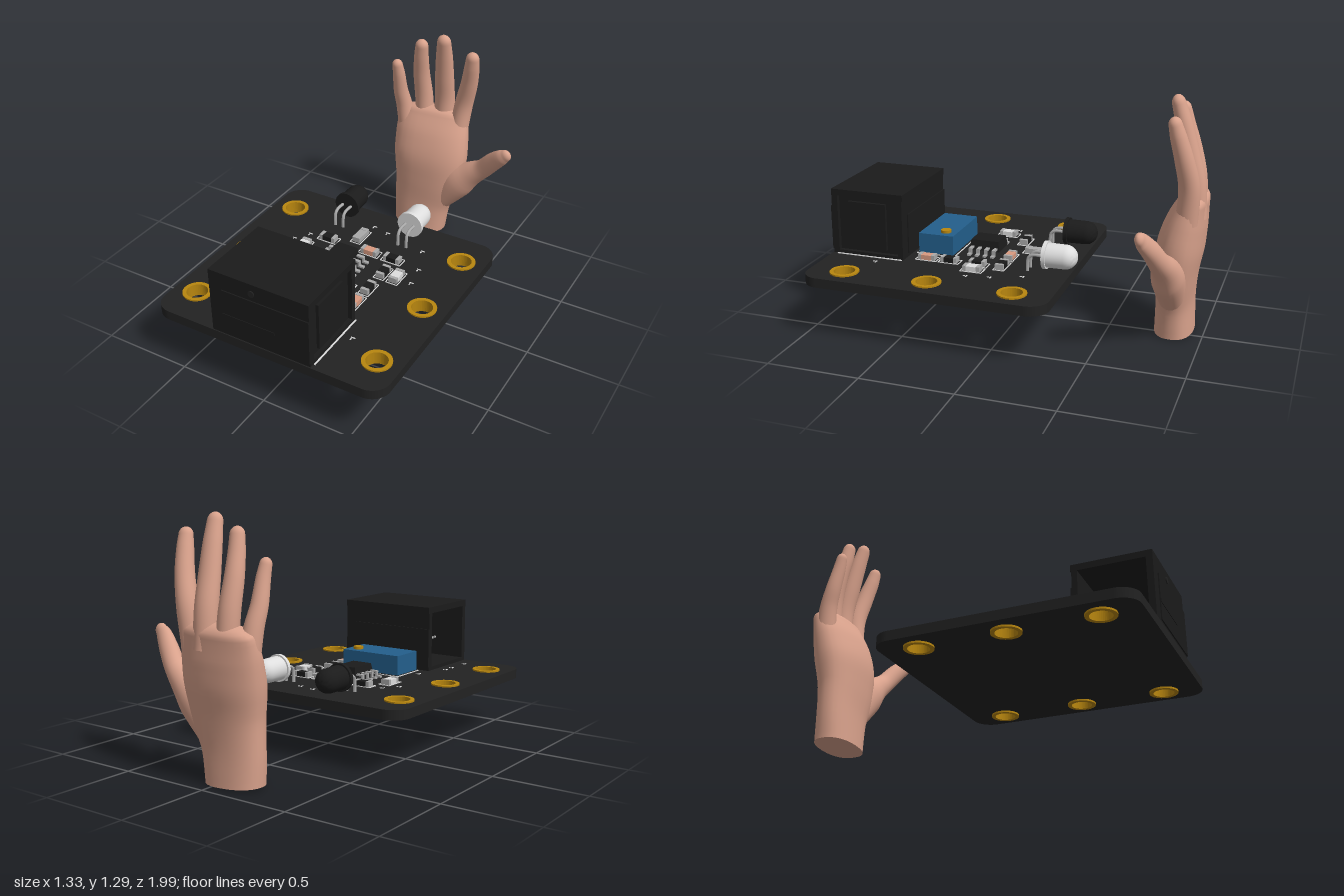
import * as THREE from 'three';
import { toCreasedNormals } from 'three/addons/utils/BufferGeometryUtils.js';

const paint = (name, color) => {
  const m = new THREE.MeshStandardMaterial({ color });
  m.name = name;
  return m;
};

export function createModel() {
  const black = paint('board black', 0x222222);
  const darkBlack = paint('plastic black', 0x1b1b1b);
  const brass = paint('brass', 0xb8860f);
  const blue = paint('trimmer blue', 0x235f8c);
  const metal = paint('lead grey', 0xaaaaaa);
  const white = paint('clear white', 0xdedede);
  const salmon = paint('ceramic salmon', 0xd99a80);
  const skin = paint('skin', 0xd9a28c);

  const root = new THREE.Group();
  const TOP = 0.34; // upper face of the board

  function add(name, geometry, material, parent = root) {
    const m = new THREE.Mesh(geometry, material);
    m.name = name;
    parent.add(m);
    return m;
  }
  function group(name) {
    const g = new THREE.Group();
    g.name = name;
    root.add(g);
    return g;
  }
  // box given by its extents
  function box(name, x0, x1, y0, y1, z0, z1, material, parent) {
    const m = add(name, new THREE.BoxGeometry(x1 - x0, y1 - y0, z1 - z0), material, parent);
    m.position.set((x0 + x1) / 2, (y0 + y1) / 2, (z0 + z1) / 2);
    return m;
  }
  // shape in plan, extruded upward
  function slab(shape, y0, y1, segments = 20) {
    return new THREE.ExtrudeGeometry(shape, { depth: y1 - y0, bevelEnabled: false, curveSegments: segments })
      .rotateX(-Math.PI / 2).translate(0, y0, 0);
  }
  const circle = (x, z, r) => new THREE.Path().absarc(x, -z, r, 0, Math.PI * 2, true);

  // circuit board with six plated mounting holes
  const holes = [];
  for (const x of [-0.535, 0.535]) for (const z of [-0.125, 0.335, 0.8]) holes.push([x, z]);
  const W = 0.665, Z0 = -1, Z1 = 0.33, R = 0.1;
  const plan = new THREE.Shape();
  plan.absarc(W - R, Z1 - R, R, 0, Math.PI / 2);
  plan.absarc(-W + R, Z1 - R, R, Math.PI / 2, Math.PI);
  plan.absarc(-W + R, Z0 + R, R, Math.PI, Math.PI * 1.5);
  plan.absarc(W - R, Z0 + R, R, Math.PI * 1.5, Math.PI * 2);
  for (const [x, z] of holes) plan.holes.push(circle(x, z, 0.066));
  add('board', slab(plan, 0.288, TOP), black);
  for (const [x, z] of holes) {
    const ring = new THREE.Shape().absarc(x, -z, 0.077, 0, Math.PI * 2);
    ring.holes.push(circle(x, z, 0.056));
    add('mountingRing', slab(ring, 0.278, 0.348), brass);
  }

  // cable socket: hollow housing, open towards -x, shallow recess at +x
  const socket = group('socket');
  box('socketRoof', -0.285, 0.285, 0.67, 0.705, 0.575, 0.994, darkBlack, socket);
  box('socketFloor', -0.285, 0.285, TOP, 0.36, 0.58, 0.99, darkBlack, socket);
  box('socketFrontWall', -0.285, 0.285, TOP, 0.67, 0.96, 0.994, darkBlack, socket);
  box('socketBackWall', -0.285, 0.285, TOP, 0.67, 0.58, 0.61, darkBlack, socket);
  box('socketEndWall', 0.22, 0.262, 0.36, 0.67, 0.61, 0.96, darkBlack, socket);
  box('socketEndPanel', 0.262, 0.278, 0.38, 0.64, 0.68, 0.9, darkBlack, socket);
  box('socketFrontPanel', -0.21, 0.285, 0.362, 0.61, 0.994, 1.0, darkBlack, socket);
  box('socketFrontRib', -0.21, 0.09, 0.455, 0.472, 0.994, 1.003, darkBlack, socket);
  box('socketBackPanel', -0.285, 0.22, 0.36, 0.58, 0.573, 0.58, darkBlack, socket);
  const peg = add('socketPeg', new THREE.CylinderGeometry(0.018, 0.018, 0.006, 16).rotateX(Math.PI / 2), black, socket);
  peg.position.set(-0.035, 0.65, 0.996);
  for (let i = 0; i < 6; i++) {
    const z = 0.7 + i * 0.035;
    const pin = box('socketContact', -0.16, 0.04, 0.43, 0.442, z, z + 0.014, metal, socket);
    pin.rotation.z = -0.5;
  }
  box('socketMark', 0.288, 0.296, TOP, TOP + 0.004, 0.585, 0.97, white, socket);

  // trimmer
  const trimmer = group('trimmer');
  box('trimmerOutline', -0.233, 0.155, TOP, TOP + 0.004, 0.335, 0.558, white, trimmer);
  box('trimmerOutlineInner', -0.228, 0.15, TOP, TOP + 0.006, 0.34, 0.553, black, trimmer);
  box('trimmerBody', -0.223, 0.145, TOP, 0.455, 0.347, 0.547, blue, trimmer);
  const screw = add('trimmerScrew', new THREE.CylinderGeometry(0.028, 0.028, 0.03, 20), brass, trimmer);
  screw.position.set(0.085, 0.455, 0.41);

  // eight-legged chip with a tapered top
  const chip = group('chip');
  const body = new THREE.BoxGeometry(0.14, 0.055, 0.175);
  const p = body.attributes.position;
  for (let i = 0; i < p.count; i++) if (p.getY(i) > 0) p.setXYZ(i, p.getX(i) * 0.85, p.getY(i), p.getZ(i) * 0.9);
  body.computeVertexNormals();
  add('chipBody', body, darkBlack, chip).position.set(-0.028, 0.383, 0.205);
  for (const s of [-1, 1]) for (let i = 0; i < 4; i++) {
    const z = 0.138 + i * 0.045, a = -0.028 + s * 0.065, b = -0.028 + s * 0.1, c = -0.028 + s * 0.135;
    box('chipLegTop', Math.min(a, b), Math.max(a, b), 0.366, 0.376, z - 0.009, z + 0.009, metal, chip);
    box('chipLegDrop', Math.min(b, b + s * 0.01), Math.max(b, b + s * 0.01), TOP, 0.376, z - 0.009, z + 0.009, metal, chip);
    box('chipLegFoot', Math.min(b, c), Math.max(b, c), TOP, 0.35, z - 0.009, z + 0.009, metal, chip);
  }

  // small surface parts: x, z, length, width, upright in plan, body material
  const parts = [
    [-0.055, -0.06, 0.11, 0.045, true, metal], [-0.2, 0.045, 0.095, 0.045, false, darkBlack],
    [0.065, 0.045, 0.095, 0.045, false, salmon], [0.205, 0.045, 0.095, 0.045, false, darkBlack],
    [-0.285, 0.175, 0.095, 0.05, true, white], [0.3, 0.175, 0.095, 0.05, true, white],
    [0.22, 0.175, 0.09, 0.045, true, darkBlack], [0.22, 0.335, 0.09, 0.045, true, darkBlack],
    [0.22, 0.465, 0.095, 0.045, true, salmon],
  ];
  for (const [x, z, len, wid, upright, mat] of parts) {
    const g = group('surfacePart');
    const h = len / 2, w = wid / 2;
    box('partBody', -h * 0.6, h * 0.6, 0, 0.028, -w, w, mat, g);
    for (const s of [-1, 1]) {
      box('partEnd', s > 0 ? h * 0.6 : -h, s > 0 ? h : -h * 0.6, 0, 0.03, -w, w, metal, g);
      box('partOutlineSide', -h - 0.012, h + 0.012, 0, 0.004, s * (w + 0.008) - 0.002, s * (w + 0.008) + 0.002, white, g);
      box('partOutlineEnd', s * (h + 0.012) - 0.002, s * (h + 0.012) + 0.002, 0, 0.004, -w - 0.008, w + 0.008, white, g);
    }
    g.position.set(x, TOP, z);
    if (upright) g.rotation.y = Math.PI / 2;
  }
  // tiny printed ticks
  for (const [x, z] of [[-0.315, 0.05], [-0.37, 0.13], [0.31, -0.11], [0.37, 0.05], [0.39, 0.175], [-0.28, 0.47],
    [-0.345, 0.66], [-0.345, 0.73], [-0.35, 0.87], [0.35, 0.71], [-0.035, -0.19], [0.06, -0.17]]) {
    box('printTick', x - 0.012, x + 0.012, TOP, TOP + 0.003, z - 0.003, z + 0.003, white);
    box('printTick', x - 0.008, x - 0.002, TOP, TOP + 0.003, z + 0.008, z + 0.02, white);
  }

  // emitter and receiver lamps, lying flat and pointing back
  const lamp = [[0, 0], [0.075, 0], [0.075, 0.02], [0.066, 0.02], [0.065, 0.115]].map(a => new THREE.Vector2(...a));
  for (let i = 1; i <= 8; i++) {
    const a = i / 8 * Math.PI / 2;
    lamp.push(new THREE.Vector2(i === 8 ? 0 : 0.065 * Math.cos(a), 0.115 + 0.065 * Math.sin(a)));
  }
  for (const [name, x, mat] of [['receiverLamp', -0.22, darkBlack], ['emitterLamp', 0.185, white]]) {
    const g = group(name);
    g.position.x = x;
    const bulb = toCreasedNormals(new THREE.LatheGeometry(lamp, 28).rotateX(-Math.PI / 2), 0.6);
    add('bulb', bulb, mat, g).position.set(0, 0.43, -0.185);
    for (const s of [-0.026, 0.026]) {
      const path = new THREE.CatmullRomCurve3([[0.43, -0.185], [0.43, -0.13], [0.415, -0.107], [0.38, -0.1], [TOP, -0.1]]
        .map(([y, z]) => new THREE.Vector3(s, y, z)));
      add('lampLead', new THREE.TubeGeometry(path, 20, 0.009, 8), metal, g);
    }
  }

  // hand: each section is x, y, z, half width, half depth; ends in a dome
  function limb(name, sections, dome, power = 2) {
    const N = 28, STEPS = 24, rows = [];
    const centre = new THREE.CatmullRomCurve3(sections.map(s => new THREE.Vector3(s[0], s[1], s[2])));
    const radius = new THREE.CatmullRomCurve3(sections.map(s => new THREE.Vector3(s[3], s[4], 0)));
    const row = (t, lift, scale) => {
      const T = centre.getTangent(t), r = radius.getPoint(t);
      const u = new THREE.Vector3().crossVectors(T, new THREE.Vector3(0, 0, 1)).normalize();
      rows.push({ c: centre.getPoint(t).addScaledVector(T, lift), u, v: new THREE.Vector3().crossVectors(u, T), rx: r.x * scale, rz: r.y * scale });
    };
    row(0, 0, 0); row(0, 0, 1); // flat base
    for (let i = 0; i <= STEPS; i++) row(i / STEPS, 0, 1);
    for (let i = 1; i <= 6; i++) row(1, dome * Math.sin(i * Math.PI / 12), Math.max(0.001, Math.cos(i * Math.PI / 12)));
    const pos = [], idx = [];
    const bend = a => Math.sign(a) * Math.abs(a) ** (2 / power);
    rows.forEach((r, j) => {
      for (let i = 0; i < N; i++) {
        const a = i / N * Math.PI * 2;
        const q = r.c.clone().addScaledVector(r.u, r.rx * bend(Math.cos(a))).addScaledVector(r.v, r.rz * bend(Math.sin(a)));
        pos.push(q.x, Math.max(0, q.y), q.z);
        if (j === 0 || j === 2) continue; // row 2 repeats row 1 to keep the rim sharp
        const k = (i + 1) % N, A = (j - 1) * N, B = j * N;
        idx.push(A + i, B + i, A + k, A + k, B + i, B + k);
      }
    });
    const g = new THREE.BufferGeometry();
    g.setAttribute('position', new THREE.Float32BufferAttribute(pos, 3));
    g.setIndex(idx);
    g.computeVertexNormals();
    add(name, g, skin, hand);
  }
  const hand = group('hand');
  limb('palm', [[-0.072, 0.008, -0.84, 0.163, 0.105], [-0.062, 0.18, -0.84, 0.18, 0.1], [-0.035, 0.35, -0.845, 0.213, 0.11],
    [-0.03, 0.5, -0.86, 0.233, 0.12], [-0.036, 0.63, -0.885, 0.232, 0.105], [-0.04, 0.74, -0.915, 0.22, 0.075]], 0.055, 2.3);
  limb('thumb', [[0.06, 0.22, -0.84, 0.075, 0.07], [0.17, 0.37, -0.835, 0.1, 0.085], [0.255, 0.45, -0.83, 0.075, 0.07],
    [0.335, 0.515, -0.815, 0.057, 0.054], [0.41, 0.6, -0.785, 0.054, 0.045], [0.47, 0.66, -0.757, 0.046, 0.034],
    [0.495, 0.681, -0.75, 0.036, 0.026]], 0.035);
  limb('indexFinger', [[0.125, 0.66, -0.905, 0.055, 0.058], [0.148, 0.85, -0.915, 0.054, 0.054], [0.185, 1.0, -0.89, 0.05, 0.048],
    [0.208, 1.12, -0.86, 0.044, 0.041], [0.216, 1.18, -0.845, 0.038, 0.034]], 0.04);
  limb('middleFinger', [[0.02, 0.66, -0.93, 0.062, 0.062], [0.02, 0.85, -0.922, 0.06, 0.056], [0.027, 1.0, -0.89, 0.057, 0.05],
    [0.036, 1.15, -0.855, 0.05, 0.043], [0.043, 1.25, -0.828, 0.041, 0.035]], 0.045);
  limb('ringFinger', [[-0.1, 0.66, -0.92, 0.055, 0.058], [-0.112, 0.85, -0.91, 0.054, 0.053], [-0.117, 1.0, -0.88, 0.049, 0.047],
    [-0.108, 1.12, -0.85, 0.043, 0.04], [-0.1, 1.195, -0.835, 0.038, 0.034]], 0.04);
  limb('littleFinger', [[-0.203, 0.62, -0.89, 0.055, 0.06], [-0.222, 0.78, -0.868, 0.048, 0.048], [-0.232, 0.88, -0.84, 0.043, 0.042],
    [-0.231, 1.0, -0.81, 0.036, 0.035], [-0.234, 1.062, -0.795, 0.031, 0.029]], 0.034);

  return root;
}
